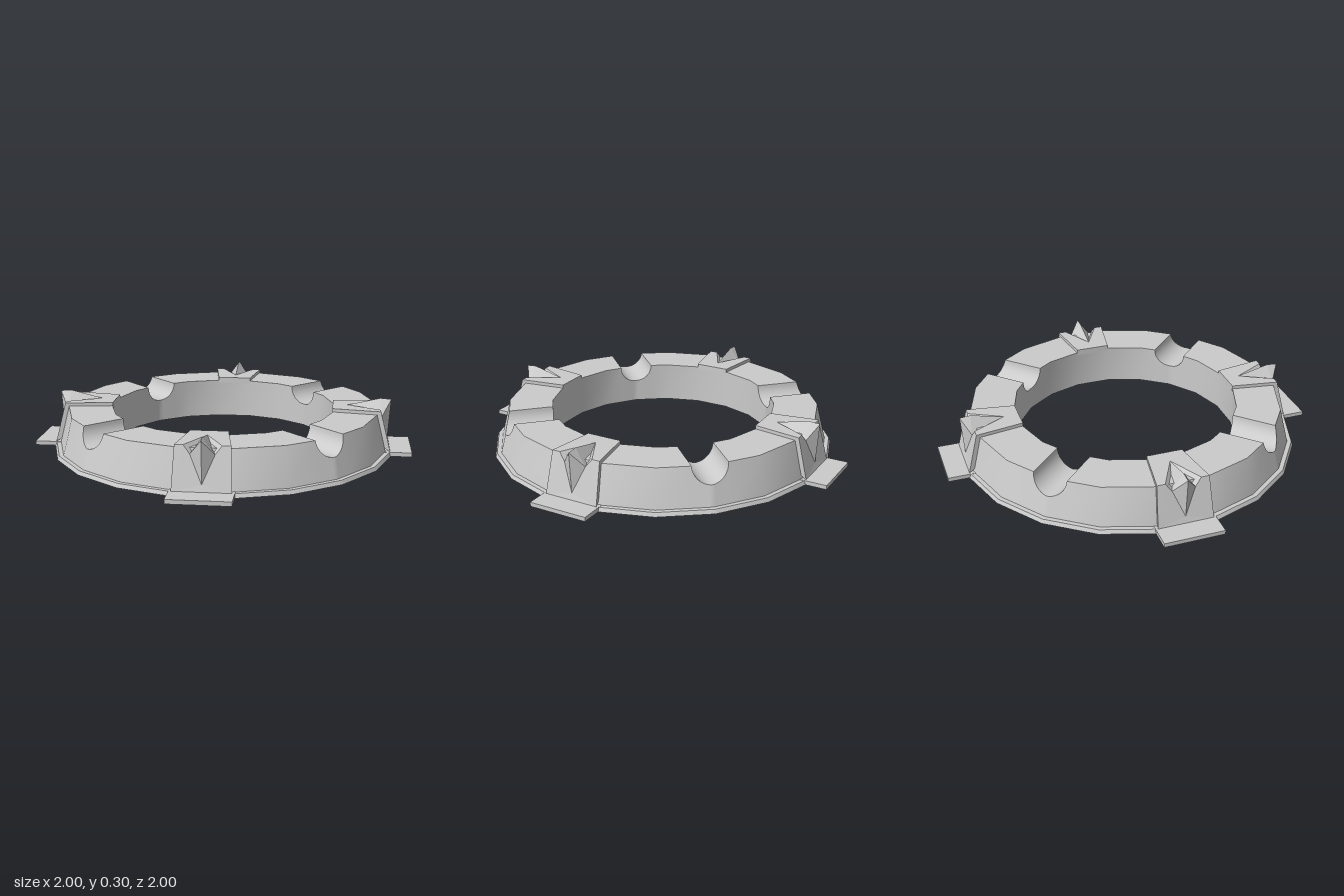
import * as THREE from 'three';
import { toCreasedNormals } from 'three/addons/utils/BufferGeometryUtils.js';

const TOP = 0.235, LEDGE = 0.022, NOTCH = 0.1;

function geometryFrom(points) {
  const g = new THREE.BufferGeometry();
  g.setAttribute('position', new THREE.Float32BufferAttribute(points.flat(), 3));
  return g;
}

// Cross-section as [radius, y] pairs; the top can dip to form a notch
function profile(top) {
  const outer = THREE.MathUtils.mapLinear(top, LEDGE, TOP, 0.965, 0.91);
  return [[0.655, top], [outer, top], [0.965, LEDGE], [0.99, LEDGE], [1, 0], [0.655, 0]];
}

// Twenty-sided ring with four round notches cut across its top
function ringGeometry() {
  const sections = [];
  const tan9 = Math.tan(Math.PI / 20);
  for (let q = 0; q < 4; q++) {
    const c = Math.round(Math.cos(q * Math.PI / 2)), s = Math.round(Math.sin(q * Math.PI / 2));
    const add = (top, place) => sections.push(profile(top).map(([r, y]) => {
      const [x, z] = place(r);
      return [x * c - z * s, y, x * s + z * c];
    }));
    // slices through the notch
    for (let i = 0; i <= 16; i++) {
      const a = i / 16 * Math.PI;
      const z = -NOTCH * Math.cos(a);
      add(TOP - NOTCH * Math.sin(a), r => [r - Math.abs(z) * tan9, z]);
    }
    // corners of the plain sides
    for (let i = 1; i <= 4; i++) {
      const a = i * Math.PI / 10;
      add(TOP, r => [r * Math.cos(a), r * Math.sin(a)]);
    }
  }
  const tris = [];
  sections.forEach((p, k) => {
    const n = sections[(k + 1) % sections.length];
    p.forEach((_, j) => {
      const m = (j + 1) % p.length;
      tris.push(p[j], n[j], n[m], p[j], n[m], p[m]);
    });
  });
  return toCreasedNormals(geometryFrom(tris.flat().length ? tris : []), 0.45);
}

// Wedge-shaped clamp with a pointed ridge; x is radial, z tangential
function clampGeometry() {
  const v = {
    M: [0.645, 0.255, 0], m: [0.645, 0.22, 0],           // inner end, middle
    A: [0.645, 0.255, 0.102], a: [0.645, 0.22, 0.102],   // inner end, corner
    C: [0.92, 0.255, 0.146], D: [0.98, LEDGE, 0.157],    // outer wall corner
    E: [0.98, LEDGE, 0],                                 // wall foot
    G: [0.92, 0.255, 0.1], S: [0.931, 0.21, 0.065],      // groove beside the ridge
    T: [0.73, 0.255, 0], Q: [0.92, 0.3, 0],              // ridge line
    P: [0.983, 0.295, 0], B: [0.968, 0.06, 0],           // ridge nose
  };
  const faces = 'MAT ACG AGT TGS TSQ SPQ SBP GCD GDS SDB BDE AaD ADC Mma MaA'.split(' ');
  const pts = [];
  for (const f of faces) {
    const t = [...f].map(n => v[n]);
    pts.push(...t, ...t.map(([x, y, z]) => [x, y, -z]).reverse());
  }
  const g = geometryFrom(pts);
  g.computeVertexNormals();
  return g;
}

export function createModel() {
  const model = new THREE.Group();
  model.name = 'notchedRing';
  const smooth = new THREE.MeshStandardMaterial({ color: 0xcccccc });
  const flat = new THREE.MeshStandardMaterial({ color: 0xcccccc, flatShading: true });

  const ring = new THREE.Mesh(ringGeometry(), smooth);
  ring.name = 'ring';
  model.add(ring);

  // Four clamps with foot plates on the diagonals
  const clampGeo = clampGeometry();
  const footGeo = new THREE.BoxGeometry(0.17, 0.024, 0.34).translate(1.018, 0.012, 0);
  for (let i = 0; i < 4; i++) {
    const corner = new THREE.Group();
    corner.name = 'cornerClamp' + (i + 1);
    const clamp = new THREE.Mesh(clampGeo, flat);
    clamp.name = 'ridgedClamp';
    const foot = new THREE.Mesh(footGeo, flat);
    foot.name = 'footPlate';
    corner.add(clamp, foot);
    corner.rotation.y = Math.PI / 4 + i * Math.PI / 2;
    model.add(corner);
  }
  return model;
}
